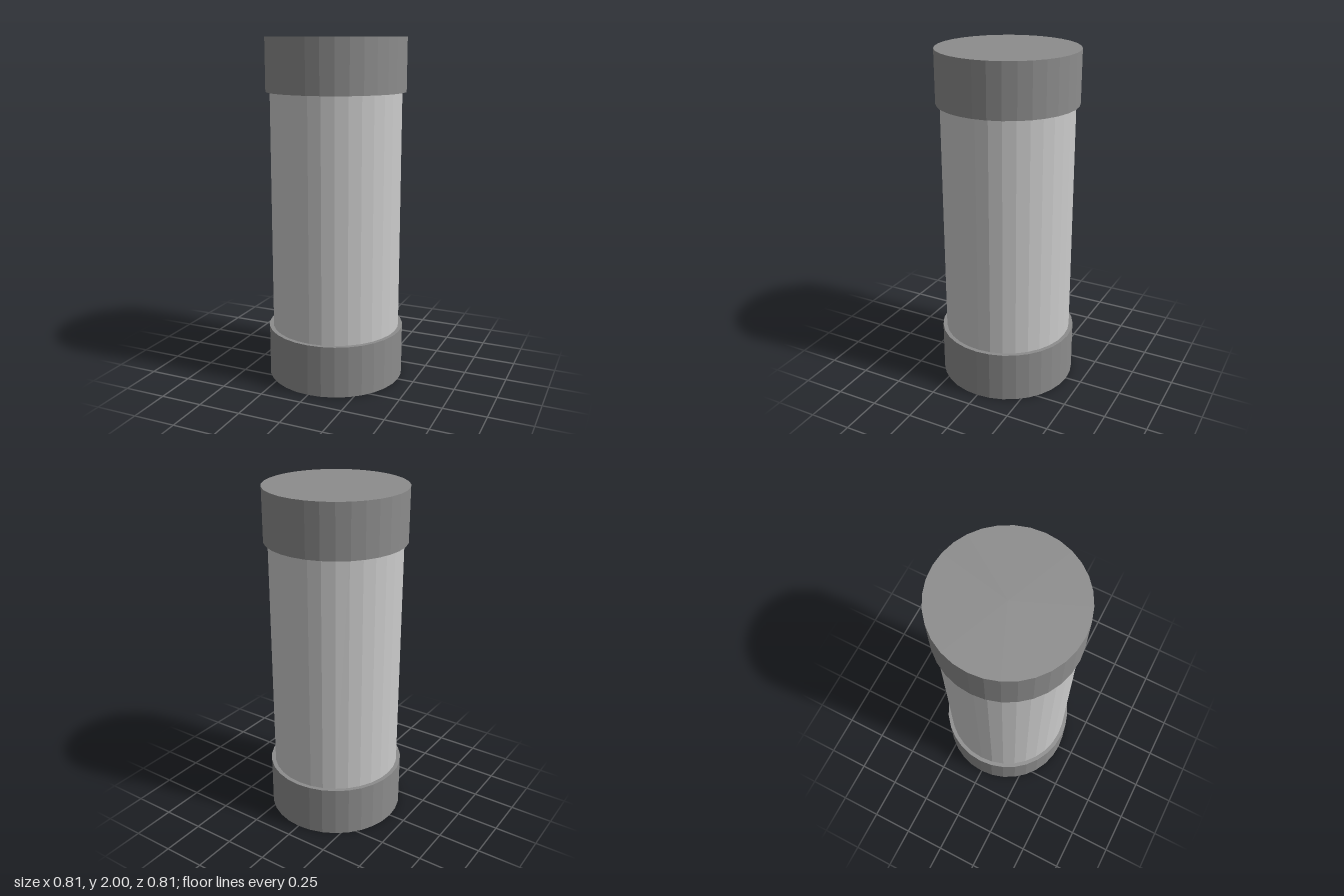
import * as THREE from 'three';

const SIDES = 32;
const HEIGHT = 2;
const CAP_HEIGHT = 0.303;
const CAP_RADIUS = 0.403;
const BODY_RADIUS = 0.379;
const OVERLAP = 0.02; // how far the body is seated inside each cap

export function createModel() {
  const model = new THREE.Group();
  model.name = 'cappedCanister';

  const bodyMaterial = new THREE.MeshStandardMaterial({ color: 0xcccccc, flatShading: true });
  const capMaterial = new THREE.MeshStandardMaterial({ color: 0x8c8c8c, flatShading: true });

  function addCylinder(name, radius, height, centreY, material) {
    const mesh = new THREE.Mesh(new THREE.CylinderGeometry(radius, radius, height, SIDES), material);
    mesh.name = name;
    mesh.position.y = centreY;
    model.add(mesh);
  }

  // Body between the caps
  addCylinder('body', BODY_RADIUS, HEIGHT - 2 * (CAP_HEIGHT - OVERLAP), HEIGHT / 2, bodyMaterial);

  // Wider, darker end caps
  addCylinder('bottomCap', CAP_RADIUS, CAP_HEIGHT, CAP_HEIGHT / 2, capMaterial);
  addCylinder('topCap', CAP_RADIUS, CAP_HEIGHT, HEIGHT - CAP_HEIGHT / 2, capMaterial);

  return model;
}
